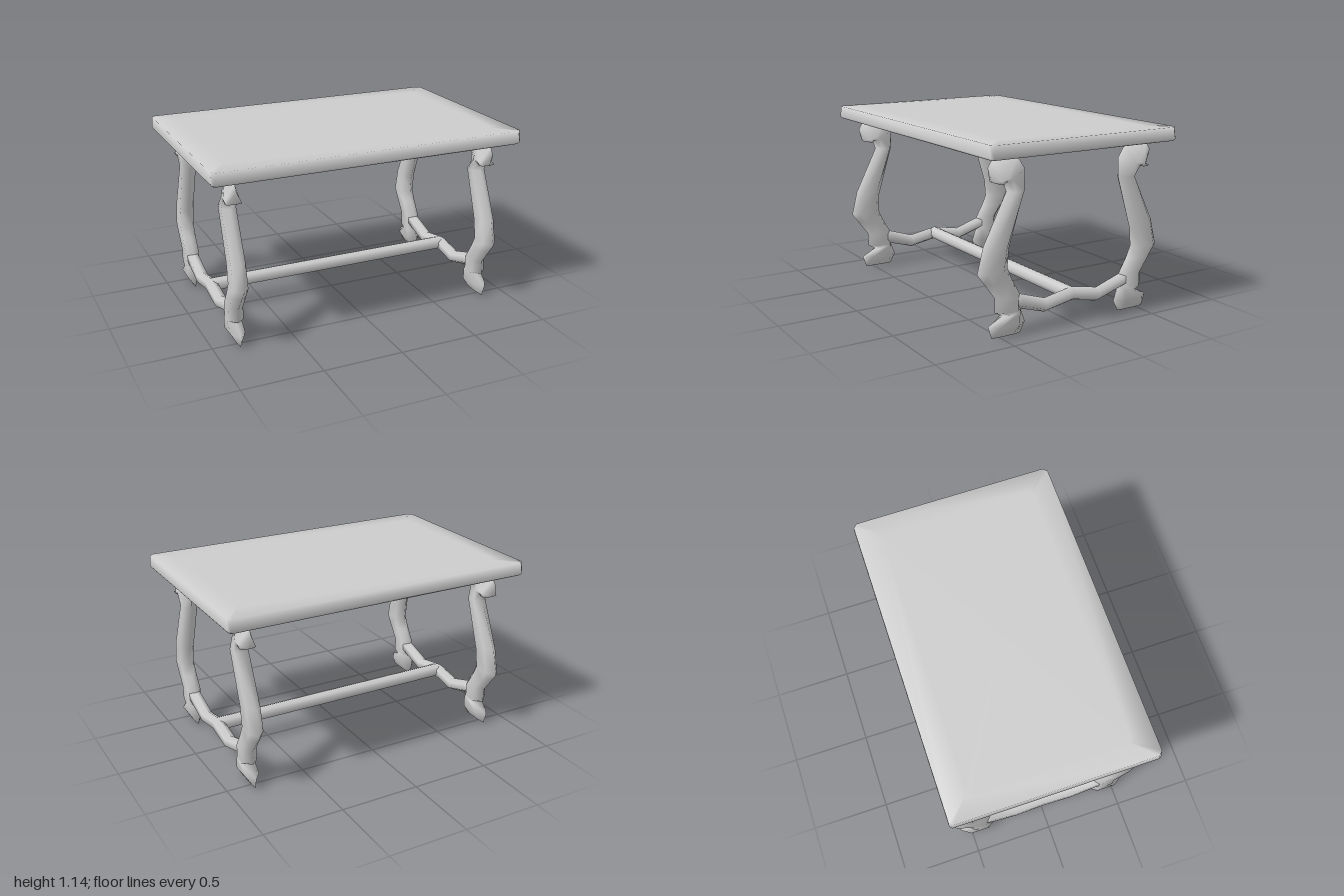
import * as THREE from 'three';

// Smooth closed loft through equal-length rings of [x, y, z], capped at both ends
function loft(rings) {
  const n = rings[0].length;
  const verts = rings.flat();
  const centre = ring => [0, 1, 2].map(k => ring.reduce((s, p) => s + p[k], 0) / n);
  const first = verts.push(centre(rings[0])) - 1;
  const last = verts.push(centre(rings[rings.length - 1])) - 1;
  const end = (rings.length - 1) * n;
  const faces = [];
  for (let i = 0; i < n; i++) {
    const j = (i + 1) % n;
    for (let r = 0; r < end; r += n) {
      faces.push([r + i, r + j, r + n + j], [r + i, r + n + j, r + n + i]);
    }
    faces.push([first, j, i], [last, end + i, end + j]);
  }
  // Turn the faces outward when the enclosed volume is negative (mirrored parts)
  const v = i => new THREE.Vector3(...verts[i]);
  const volume = faces.reduce((s, [a, b, c]) => s + v(a).dot(v(b).cross(v(c))), 0);
  if (volume < 0) faces.forEach(f => f.reverse());
  const geo = new THREE.BufferGeometry();
  geo.setAttribute('position', new THREE.Float32BufferAttribute(verts.flat(), 3));
  geo.setIndex(faces.flat());
  geo.computeVertexNormals();
  return geo;
}

// Six-sided section between edge points (z1, y1) and (z2, y2), with half width w;
// fa and fb place the side corners along the section
function section(x, sz, [z1, y1, z2, y2, w, fa = 0.25, fb = 0.75]) {
  const at = (f, dx) => [x + dx, y1 + (y2 - y1) * f, sz * (z1 + (z2 - z1) * f)];
  return [at(0, 0), at(fa, w), at(fb, w), at(1, 0), at(fb, -w), at(fa, -w)];
}

// Rectangle with small cut corners, at height y
function cutRectangle(hx, hz, y, cut) {
  return [
    [hx, hz - cut], [hx - cut, hz], [cut - hx, hz], [-hx, hz - cut],
    [-hx, cut - hz], [cut - hx, -hz], [hx - cut, -hz], [hx, cut - hz],
  ].map(([x, z]) => [x, y, z]);
}

// Leg sections from the foot up to the tip of the scroll
const W = 0.045;
const legSections = [
  [0.55, 0, 0.36, 0, 0.004],
  [0.575, 0.075, 0.325, 0.065, W],
  [0.48, 0.125, 0.355, 0.142, W],
  [0.53, 0.15, 0.355, 0.15, W],
  [0.53, 0.235, 0.36, 0.235, W],
  [0.6, 0.33, 0.415, 0.33, W],
  [0.645, 0.39, 0.445, 0.4, W],
  [0.605, 0.545, 0.435, 0.515, W],
  [0.455, 0.84, 0.335, 0.84, W],
  [0.48, 0.9, 0.33, 0.955, W, 0.08, 0.3],
  [0.482, 0.9, 0.38, 1.03, W, 0.03, 0.14],
  [0.487, 0.895, 0.55, 1.022, W, 0.03, 0.14],
  [0.49, 0.89, 0.575, 0.985, W, 0.03, 0.2],
  [0.49, 0.89, 0.55, 0.9, W],
];

// Wavy side stretcher sections from front to back
const stretcherSections = [
  [0.42, 0.25, 0.42, 0.165], [0.36, 0.235, 0.355, 0.145], [0.19, 0.18, 0.19, 0.095],
  [0, 0.215, 0, 0.13],
  [-0.19, 0.18, -0.19, 0.095], [-0.36, 0.235, -0.355, 0.145], [-0.42, 0.25, -0.42, 0.165],
].map(s => [...s, 0.036]);

export function createModel() {
  const group = new THREE.Group();
  const grey = new THREE.MeshStandardMaterial({ color: 0xcccccc });
  grey.name = 'plainGrey';
  const add = (name, geo) => {
    const mesh = new THREE.Mesh(geo, grey);
    mesh.name = name;
    group.add(mesh);
    return mesh;
  };

  // Table top with softly shaded edges
  add('tableTop', loft([
    cutRectangle(0.85, 0.5, 1.05, 0.02),
    cutRectangle(0.99, 0.637, 1.05, 0.015),
    cutRectangle(1, 0.645, 1.062, 0.015),
    cutRectangle(0.998, 0.643, 1.133, 0.025),
    cutRectangle(0.87, 0.5, 1.136, 0.02),
  ]));

  for (const sx of [1, -1]) {
    const side = sx > 0 ? 'left' : 'right';
    const x = sx * 0.84;
    for (const sz of [1, -1]) {
      const place = side + (sz > 0 ? 'Front' : 'Back');
      add(place + 'Leg', loft(legSections.map(s => section(x, sz, s))));
      // Thin pad between the scroll and the top
      const pad = add(place + 'Pad', new THREE.CylinderGeometry(1, 0.4, 0.022, 8));
      pad.scale.set(0.042, 1, 0.085);
      pad.position.set(x, 1.041, sz * 0.462);
    }
    add(side + 'Stretcher', loft(stretcherSections.map(s => section(x, 1, s))));
  }

  // Long beam joining the two stretchers
  const beam = new THREE.CylinderGeometry(1, 1, 1.68, 8).rotateZ(Math.PI / 2);
  beam.scale(1, 0.043, 0.045);
  add('longBeam', beam).position.y = 0.173;

  return group;
}
